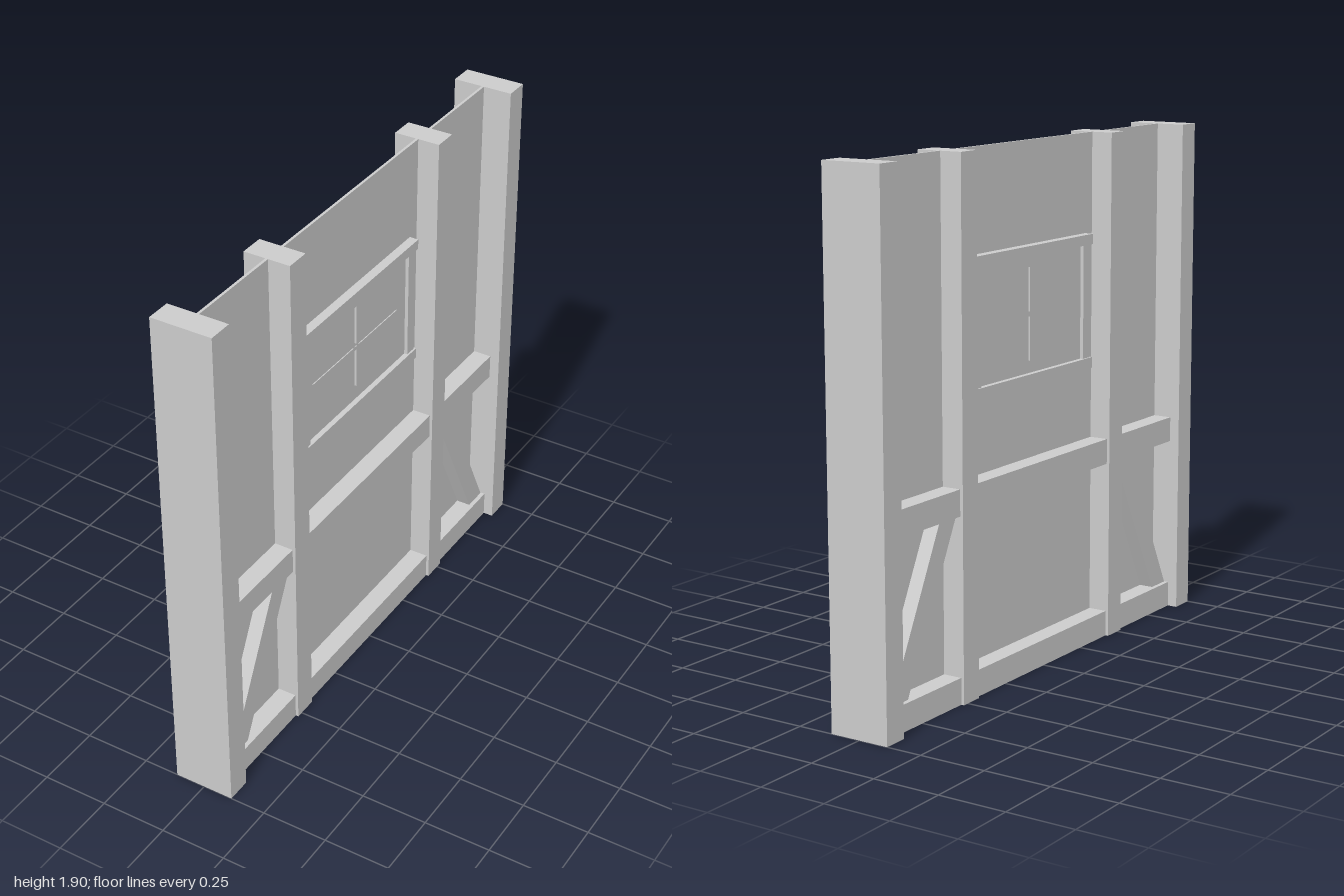
import * as THREE from 'three';

export function createModel() {
  const model = new THREE.Group();
  model.name = 'timberWall';
  const mat = new THREE.MeshStandardMaterial({ color: 0xcccccc, flatShading: true });

  const add = (name, geo) => {
    const mesh = new THREE.Mesh(geo, mat);
    mesh.name = name;
    model.add(mesh);
  };
  // Box centred on x = 0, spanning y0..y1 and z0..z1
  const beam = (name, half, y0, y1, z0, z1) => {
    const g = new THREE.BoxGeometry(half * 2, y1 - y0, z1 - z0);
    g.translate(0, (y0 + y1) / 2, (z0 + z1) / 2);
    add(name, g);
  };
  // Outline given as [z, y], extruded symmetrically across x
  const slab = (name, half, pts, holes = []) => {
    const v = (list) => list.map(([z, y]) => new THREE.Vector2(-z, y));
    const shape = new THREE.Shape(v(pts));
    holes.forEach((h) => shape.holes.push(new THREE.Path(v(h))));
    const g = new THREE.ExtrudeGeometry(shape, { depth: half * 2, bevelEnabled: false });
    g.translate(0, 0, -half);
    g.rotateY(Math.PI / 2);
    add(name, g);
  };
  const rect = (z0, z1, y0, y1) => [[z0, y0], [z1, y0], [z1, y1], [z0, y1]];
  const H = 1.905;

  // Plaster panel and full-length rails
  beam('wallPanel', 0.005, 0, H, -0.95, 0.95);
  beam('bottomRail', 0.077, 0, 0.097, -0.91, 0.91);
  beam('middleRail', 0.077, 0.67, 0.765, -0.91, 0.91);

  // Posts and diagonal braces, mirrored
  for (const s of [-1, 1]) {
    const side = s > 0 ? 'Front' : 'Back';
    const span = (a, b) => (s > 0 ? [a, b] : [-b, -a]);
    beam('endPost' + side, 0.115, 0, H, ...span(0.907, 1));
    beam('innerPost' + side, 0.088, 0, H, ...span(0.431, 0.523));
    slab('brace' + side, 0.06, [[0.905, 0.095], [0.81, 0.095], [0.523, 0.672], [0.618, 0.672]]
      .map(([z, y]) => [z * s, y]));
    beam('windowJamb' + side, 0.033, 1.08, 1.5, ...span(0.33, 0.375));
  }

  // Window head and sill
  beam('windowHead', 0.04, 1.5, 1.538, -0.383, 0.383);
  beam('windowSill', 0.04, 1.04, 1.08, -0.383, 0.383);

  // Sash with four panes
  const panes = [];
  for (const [z0, z1] of [[-0.292, -0.007], [0.007, 0.292]])
    for (const [y0, y1] of [[1.12, 1.283], [1.297, 1.46]]) panes.push(rect(z0, z1, y0, y1));
  slab('windowSash', 0.02, rect(-0.33, 0.33, 1.08, 1.5), panes);

  return model;
}
